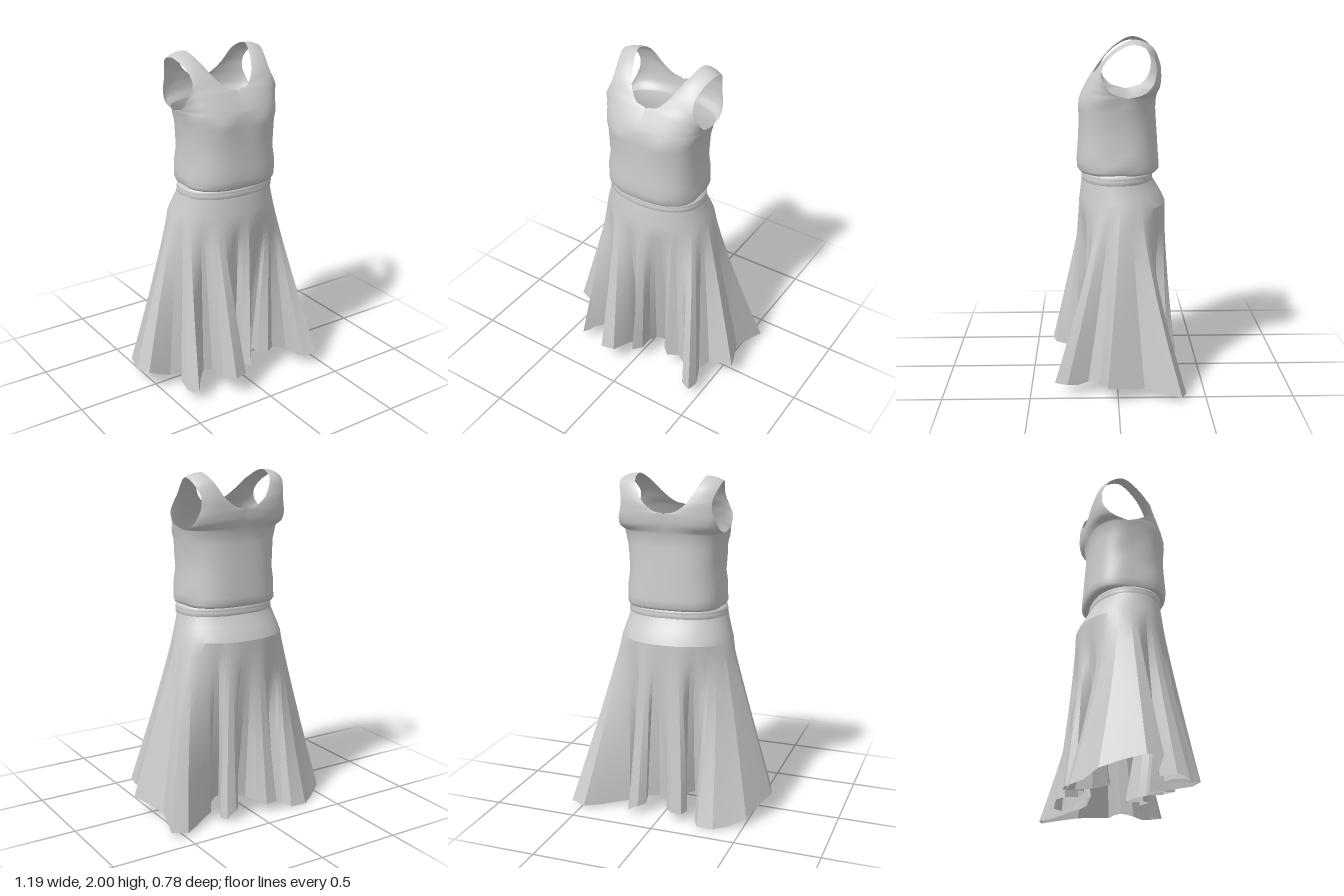
import * as THREE from 'three';
import { mergeGeometries, mergeVertices, toCreasedNormals } from 'three/addons/utils/BufferGeometryUtils.js';

const V = (x, y, z) => new THREE.Vector3(x, y, z);
const material = new THREE.MeshStandardMaterial({ color: 0xcccccc, side: THREE.DoubleSide });

// Skin a surface over rows of points, bottom row first
function loft(rows, closed) {
  const n = rows[0].length, index = [];
  for (let i = 0; i < rows.length - 1; i++) {
    for (let j = 0; j < (closed ? n : n - 1); j++) {
      const a = i * n + j, b = i * n + (j + 1) % n;
      index.push(a, b, b + n, a, b + n, a + n);
    }
  }
  const geometry = new THREE.BufferGeometry().setFromPoints(rows.flat());
  geometry.setIndex(index);
  return geometry;
}

function part(name, geometry) {
  const mesh = new THREE.Mesh(geometry, material);
  mesh.name = name;
  return mesh;
}

// Point on a rounded body section; angle runs from the front towards +x
function section(angle, y, halfWidth, front, back, n = 2.7) {
  const power = v => Math.sign(v) * Math.abs(v) ** (2 / n);
  const mid = (front + back) / 2;
  return V(halfWidth * power(Math.sin(angle)), y, mid + (front - back) / 2 * power(Math.cos(angle)));
}

// Pleated hem outline (x, z): back centre, right side, front, left side
const HEM = [
  [0, -0.24], [-0.03, -0.32], [-0.07, -0.37], [-0.14, -0.37], [-0.16, -0.32],
  [-0.10, -0.16], [-0.14, -0.12], [-0.19, -0.14], [-0.22, -0.24], [-0.21, -0.33],
  [-0.24, -0.385], [-0.34, -0.39], [-0.51, -0.28], [-0.6, -0.05], [-0.57, 0.05],
  [-0.43, 0.06], [-0.36, 0.09], [-0.42, 0.17], [-0.42, 0.24], [-0.38, 0.305],
  [-0.33, 0.24], [-0.25, 0.15], [-0.2, 0.17], [-0.21, 0.31], [-0.17, 0.39],
  [-0.09, 0.37], [-0.05, 0.24], [-0.04, 0.13], [0, 0.12], [-0.03, 0.22],
  [0, 0.295], [0.04, 0.24], [0.03, 0.14], [0.05, 0.09], [0.13, 0.04],
  [0.17, 0.06], [0.15, 0.15], [0.2, 0.2], [0.26, 0.16], [0.34, 0.2],
  [0.39, 0.32], [0.46, 0.36], [0.47, 0.29], [0.42, 0.17], [0.45, 0.1],
  [0.59, 0.06], [0.51, -0.15], [0.57, -0.36], [0.48, -0.39], [0.3, -0.27],
  [0.24, -0.24], [0.2, -0.17], [0.14, -0.16], [0.22, -0.31], [0.2, -0.36],
  [0.14, -0.36], [0.1, -0.32], [0.12, -0.24], [0.05, -0.22],
];

// Hem dips at the back corners, lifts at the front, back centre and right side
function hemHeight(x, z) {
  const { smoothstep } = THREE.MathUtils;
  return 0.065 + 0.16 * z
    + 0.06 * smoothstep(-x, 0.42, 0.6)
    + 0.02 * smoothstep(x, 0.35, 0.55)
    - 0.055 * smoothstep(x, 0.25, 0.4) * smoothstep(z, 0.08, 0.25)
    + 0.05 * smoothstep(-z, 0, 0.15) * (1 - smoothstep(Math.abs(x), 0.14, 0.23))
    - 0.06 * Math.exp(-(((x + 0.4) / 0.06) ** 2) - ((z - 0.27) / 0.07) ** 2);
}

function makeSkirt() {
  const foldRows = 14, cuts = 2, hem = [], travel = [];
  // straight-sided pleats; cloth is shared round the waist by hem length
  let length = 0;
  HEM.forEach(([x, z], i) => {
    const [nx, nz] = HEM[(i + 1) % HEM.length];
    for (let k = 0; k < cuts; k++) {
      const px = x + (nx - x) * k / cuts, pz = z + (nz - z) * k / cuts;
      hem.push(V(px, hemHeight(px, pz), pz));
      travel.push(length);
      length += Math.hypot(nx - x, nz - z) / cuts;
    }
  });
  const smoothRow = (...args) => travel.map(d => section(Math.PI + d / length * Math.PI * 2, ...args, 2.1));
  const hip = smoothRow(1.05, 0.335, 0.22, -0.288);
  const rows = [];
  // folds fade out from hem to hip, flaring late towards the back
  for (let i = 0; i <= foldRows; i++) {
    const f = 1 - i / foldRows;
    rows.push(hip.map((h, j) => {
      const p = h.clone().lerp(hem[j], f);
      p.z = THREE.MathUtils.lerp(h.z, hem[j].z, f ** (1.25 - h.z * 0.8));
      return p;
    }));
  }
  // smooth yoke from hip to waist
  rows.push(smoothRow(1.09, 0.323, 0.215, -0.27), smoothRow(1.13, 0.311, 0.21, -0.247),
    smoothRow(1.17, 0.3, 0.205, -0.222), smoothRow(1.195, 0.294, 0.2, -0.21));
  return part('skirt', toCreasedNormals(loft(rows, true), 0.3));
}

function makeWaistband() {
  const profile = [[1.186, 0.288], [1.19, 0.296], [1.212, 0.296], [1.216, 0.291],
    [1.221, 0.295], [1.236, 0.292], [1.246, 0.276]];
  const rows = profile.map(([y, w]) => Array.from({ length: 72 },
    (_, j) => section(j / 36 * Math.PI, y, w, w - 0.091, 0.084 - w, 2.2)));
  const geometry = loft(rows, true).translate(0.005, 0, 0);
  geometry.computeVertexNormals();
  return part('waistband', geometry);
}

// Body sections: height, half width, front z, back z
const BODY = [
  [1.235, 0.265, 0.185, -0.19], [1.243, 0.278, 0.215, -0.232], [1.26, 0.285, 0.228, -0.248],
  [1.3, 0.287, 0.232, -0.247], [1.36, 0.282, 0.228, -0.242], [1.44, 0.276, 0.222, -0.237],
  [1.52, 0.277, 0.219, -0.231], [1.6, 0.286, 0.217, -0.226], [1.64, 0.294, 0.215, -0.226],
  [1.68, 0.302, 0.207, -0.232],
];
const QUARTER = 24;
const UNDERARM = 1.7; // angle of the lowest armhole point

// Columns are spread evenly from front to underarm and from underarm to back
function columnAngle(j) {
  const k = Math.min(j, QUARTER * 4 - j) / QUARTER;
  const angle = k < 1 ? k * UNDERARM : UNDERARM + (k - 1) * (Math.PI - UNDERARM);
  return j <= QUARTER * 2 ? angle : -angle;
}

function bodyTube() {
  const rows = BODY.map(args =>
    Array.from({ length: QUARTER * 4 }, (_, j) => section(columnAngle(j), ...args)));
  // soft bust and shallow cloth creases
  rows.forEach((row, i) => row.forEach(p => {
    if (i === 0 || i === rows.length - 1) return;
    const bust = Math.exp(-(((Math.abs(p.x) - 0.13) / 0.07) ** 2) - ((p.y - 1.63) / 0.06) ** 2);
    if (p.z > 0) p.z += 0.01 * bust;
    p.x *= 1 + 0.012 * Math.sin(p.y * 45 + p.z * 22);
  }));
  return loft(rows, true);
}

// Half of the yoke: swept from chest over the shoulder to the back,
// each row running from neckline to armhole
function strap(side) {
  const top = BODY[BODY.length - 1];
  const at = column => section(columnAngle(column), ...top);
  const path = (first, points, last) =>
    new THREE.CatmullRomCurve3([first, ...points.map(p => V(...p)), last]);
  const neck = path(at(0), [
    [0, 1.74, 0.174], [0, 1.793, 0.135], [0.065, 1.812, 0.125], [0.125, 1.87, 0.08],
    [0.17, 1.95, 0], [0.2, 1.998, -0.1], [0.187, 1.955, -0.2], [0.13, 1.86, -0.243],
    [0.06, 1.81, -0.251], [0, 1.795, -0.252], [0, 1.74, -0.248]], at(QUARTER * 2));
  const middle = path(at(QUARTER / 2), [
    [0.22, 1.73, 0.15], [0.188, 1.785, 0.137], [0.187, 1.83, 0.108], [0.2, 1.89, 0.067],
    [0.222, 1.957, -0.005], [0.251, 1.993, -0.1], [0.24, 1.957, -0.19], [0.205, 1.872, -0.237],
    [0.19, 1.815, -0.246], [0.19, 1.765, -0.245], [0.21, 1.72, -0.23]], at(QUARTER * 1.5));
  const armhole = path(at(QUARTER), [
    [0.307, 1.71, 0.03], [0.303, 1.76, 0.075], [0.276, 1.815, 0.09], [0.261, 1.87, 0.066],
    [0.274, 1.935, 0], [0.298, 1.973, -0.09], [0.294, 1.945, -0.168], [0.272, 1.88, -0.211],
    [0.272, 1.82, -0.217], [0.29, 1.755, -0.2], [0.302, 1.705, -0.15]], at(QUARTER));
  const steps = 60, rows = [];
  for (let i = 0; i <= steps; i++) {
    const s = i / steps, a = neck.getPoint(s), b = middle.getPoint(s), c = armhole.getPoint(s);
    const row = [];
    for (let j = 0; j <= QUARTER; j++) {
      const t = j / QUARTER;
      let p = V(0, 0, 0)
        .addScaledVector(a, (1 - t) * (1 - 2 * t))
        .addScaledVector(b, 4 * t * (1 - t))
        .addScaledVector(c, t * (2 * t - 1));
      // first and last rows meet the body exactly
      if (i === 0) p = at(j);
      if (i === steps) p = at(QUARTER * 2 - j);
      p.x *= side;
      row.push(p);
    }
    rows.push(side > 0 ? row : row.reverse());
  }
  return loft(rows, false);
}

export function createModel() {
  const dress = new THREE.Group();
  dress.name = 'dress';
  // body and straps are welded so the shading runs through
  const bodice = mergeVertices(mergeGeometries([bodyTube(), strap(1), strap(-1)]), 1e-4);
  bodice.translate(0.007, 0, 0).computeVertexNormals();
  dress.add(makeSkirt(), makeWaistband(), part('bodice', bodice));
  return dress;
}
